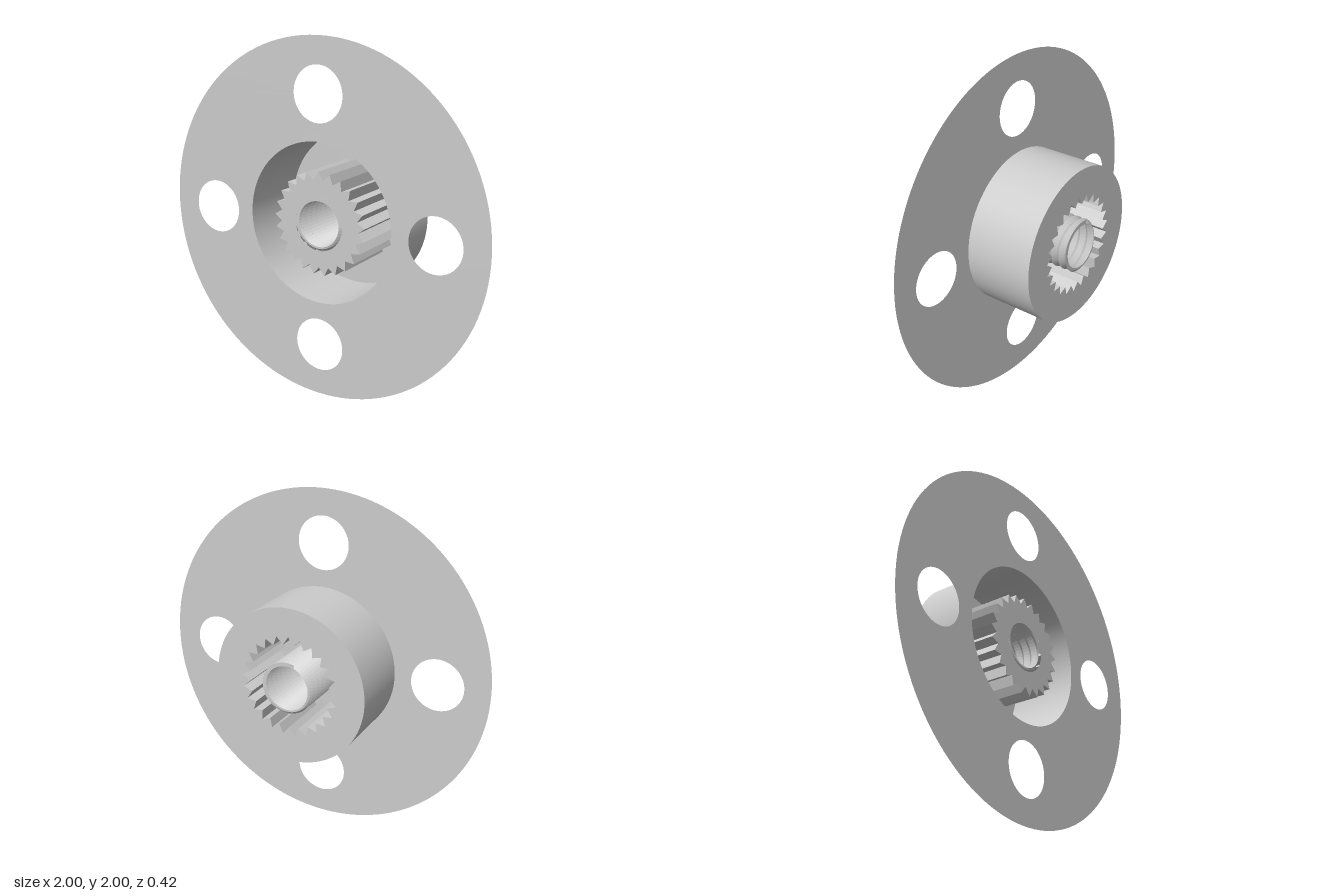
import * as THREE from 'three';
import { ParametricGeometry } from 'three/addons/geometries/ParametricGeometry.js';

const FRONT = 0.21, BACK = -0.19;      // hub ends along z
const HUB_R = 0.45, TIP_R = 0.29, VALLEY_R = 0.245, TEETH = 25;
const BORE_R = 0.15, CREST_R = 0.128, PITCH = 0.05;

function circle(path, x, y, r) {
  path.absarc(x, y, r, 0, Math.PI * 2, false);
  return path;
}

// Zigzag outline of the spline, with one tip pointing straight up
function splinePath(path) {
  for (let i = 0; i < TEETH * 2; i++) {
    const a = Math.PI / 2 + (i * Math.PI) / TEETH;
    const r = i % 2 ? VALLEY_R : TIP_R;
    if (i) path.lineTo(r * Math.cos(a), r * Math.sin(a));
    else path.moveTo(r * Math.cos(a), r * Math.sin(a));
  }
  path.closePath();
  return path;
}

export function createModel() {
  const model = new THREE.Group();
  const smooth = new THREE.MeshStandardMaterial({ color: 0xcccccc, side: THREE.DoubleSide });
  const faceted = new THREE.MeshStandardMaterial({ color: 0xcccccc, side: THREE.DoubleSide, flatShading: true });

  function add(name, geometry, material, z = 0) {
    const mesh = new THREE.Mesh(geometry, material);
    mesh.name = name;
    mesh.position.z = z;
    model.add(mesh);
  }
  function sheet(name, shape, z) {
    add(name, new THREE.ShapeGeometry(shape, 64), smooth, z);
  }

  // Thin flange, open over the hub and pierced by four mounting holes
  const flange = circle(new THREE.Shape(), 0, 0, 1);
  flange.holes.push(circle(new THREE.Path(), 0, 0, HUB_R));
  for (const [x, y] of [[0.7, 0], [0, 0.7], [-0.7, 0], [0, -0.7]]) {
    flange.holes.push(circle(new THREE.Path(), x, y, 0.152));
  }
  sheet('flange', flange, FRONT);

  // Hub wall
  const depth = FRONT - BACK, middle = (FRONT + BACK) / 2;
  const wall = new THREE.CylinderGeometry(HUB_R, HUB_R, depth, 128, 1, true).rotateX(Math.PI / 2);
  add('hubWall', wall, smooth, middle);

  // Rear face of the hub with the toothed socket opening
  const rear = circle(new THREE.Shape(), 0, 0, HUB_R);
  rear.holes.push(splinePath(new THREE.Path()));
  sheet('hubRearFace', rear, BACK);

  // Toothed socket wall: every other column of a cylinder is a tip
  const teeth = new THREE.CylinderGeometry(1, 1, depth, TEETH * 2, 1, true);
  const pos = teeth.attributes.position;
  for (let i = 0; i < pos.count; i++) {
    const r = (i % (TEETH * 2 + 1)) % 2 ? TIP_R : VALLEY_R;
    pos.setXYZ(i, pos.getX(i) * r, pos.getY(i), pos.getZ(i) * r);
  }
  add('splineTeeth', teeth.rotateX(Math.PI / 2), faceted, middle);

  // Front floor of the socket, pierced by the screw bore
  const floor = splinePath(new THREE.Shape());
  floor.holes.push(circle(new THREE.Path(), 0, 0, BORE_R));
  sheet('splineEndFace', floor, FRONT);

  // Threaded bore: a V-section ribbon wound along a helix, trimmed at both ends
  const turns = 9.3;
  const thread = new ParametricGeometry((u, v, target) => {
    const a = u * turns * Math.PI * 2;
    const r = BORE_R - (BORE_R - CREST_R) * Math.abs(2 * v - 1);
    const z = FRONT + PITCH / 2 - u * turns * PITCH + (v - 0.5) * PITCH;
    target.set(r * Math.cos(a), r * Math.sin(a), THREE.MathUtils.clamp(z, -0.21, FRONT));
  }, Math.round(turns * 48), 4);
  add('screwThread', thread, faceted);

  model.position.y = 1;
  const root = new THREE.Group();
  root.name = 'splinedHubDisc';
  root.add(model);
  return root;
}
